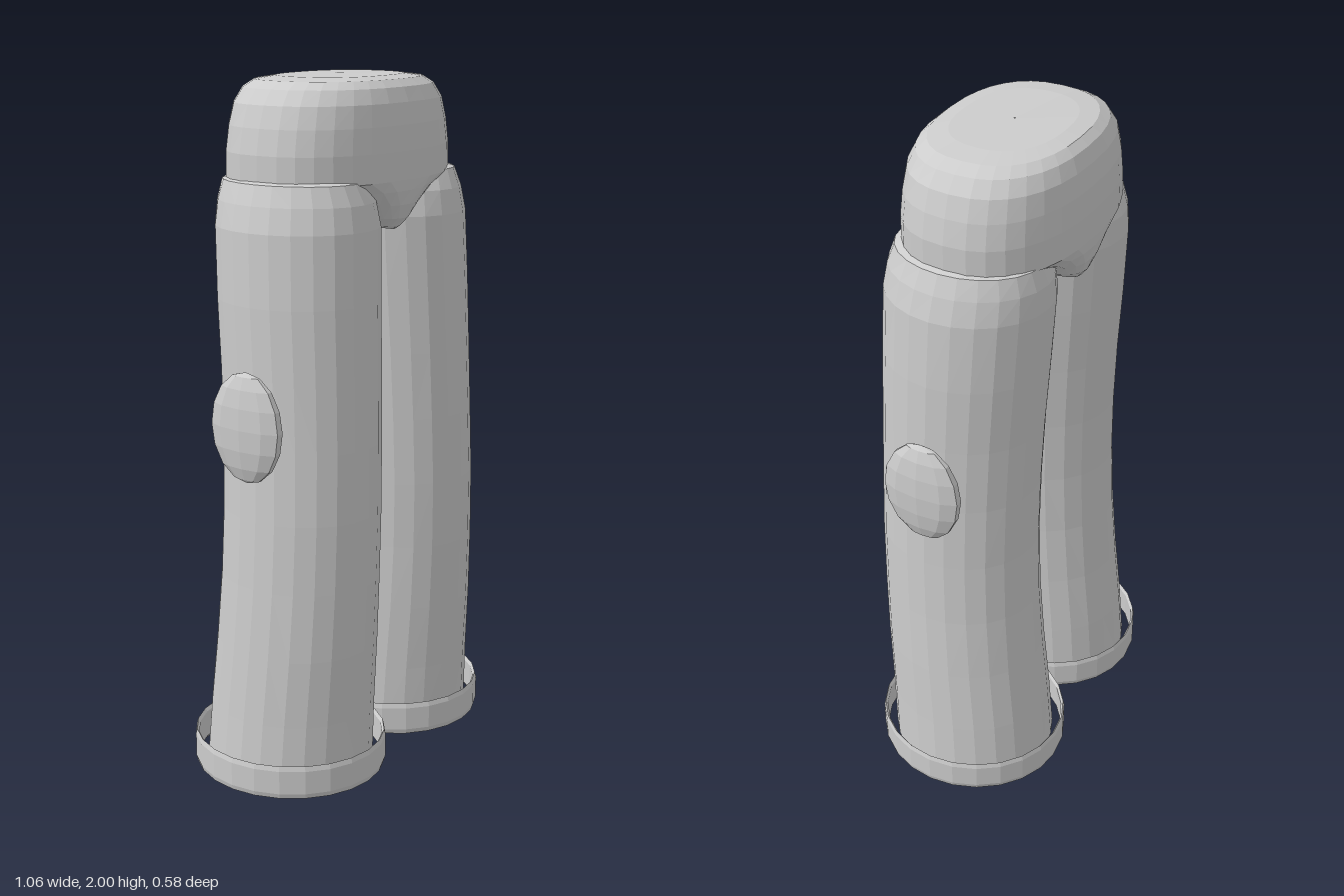
import * as THREE from 'three';

const fabric = new THREE.MeshStandardMaterial({ color: 0xcccccc, flatShading: true, side: THREE.DoubleSide });
fabric.name = 'light grey fabric';

// Skin a stack of rounded rings, each given as [y, xMin, xMax, zMin, zMax], bottom to top
function loft(rows, sides, power) {
  const pos = [], index = [];
  const round = (v) => Math.sign(v) * Math.pow(Math.abs(v), 2 / power);
  for (const [y, x0, x1, z0, z1] of rows) {
    for (let j = 0; j < sides; j++) {
      const a = (j / sides) * Math.PI * 2;
      pos.push((x0 + x1) / 2 + round(Math.cos(a)) * (x1 - x0) / 2, y,
        (z0 + z1) / 2 + round(Math.sin(a)) * (z1 - z0) / 2);
    }
  }
  for (let i = 0; i < rows.length - 1; i++) {
    for (let j = 0; j < sides; j++) {
      const k = (j + 1) % sides;
      const a = i * sides + j, b = i * sides + k, c = a + sides, d = b + sides;
      index.push(a, c, b, b, c, d);
    }
  }
  const geo = new THREE.BufferGeometry();
  geo.setAttribute('position', new THREE.Float32BufferAttribute(pos, 3));
  geo.setIndex(index);
  geo.computeVertexNormals();
  return geo;
}

function part(name, geo, parent) {
  const mesh = new THREE.Mesh(geo, fabric);
  mesh.name = name;
  parent.add(mesh);
  return mesh;
}

export function createModel() {
  const model = new THREE.Group();
  model.name = 'trousers';

  // Hips: rounded waist above, narrowing to the crotch below
  const hips = [
    [1.575, 0.002, 0.19], [1.585, 0.045, 0.205], [1.61, 0.09, 0.225], [1.65, 0.15, 0.24],
    [1.69, 0.25, 0.247], [1.72, 0.375, 0.248], [1.8, 0.375, 0.247], [1.87, 0.362, 0.243],
    [1.93, 0.342, 0.235], [1.97, 0.31, 0.218], [1.99, 0.27, 0.195], [1.998, 0.2, 0.15], [2, 0.002, 0.002],
  ].map(([y, x, z]) => [y, -x, x, -z - 0.004, z - 0.004]);
  part('hips', loft(hips, 32, 2.4), model);

  // Leg tube: open hem, slight bend at the knee, closed under the hips
  const legRows = [
    [0.02, 0.016, 0.494, -0.252, 0.25], [0.2, 0.022, 0.484, -0.238, 0.256],
    [0.4, 0.027, 0.474, -0.217, 0.266], [0.6, 0.03, 0.463, -0.202, 0.272],
    [0.8, 0.028, 0.455, -0.195, 0.274], [1, 0.023, 0.447, -0.197, 0.27],
    [1.2, 0.016, 0.443, -0.205, 0.264], [1.4, 0.008, 0.441, -0.218, 0.257],
    [1.6, 0.002, 0.432, -0.229, 0.25], [1.67, 0.02, 0.414, -0.226, 0.238],
    [1.725, 0.06, 0.392, -0.21, 0.215], [1.735, 0.1, 0.36, -0.17, 0.18],
    [1.738, 0.22, 0.222, 0, 0.002],
  ];
  const legGeo = loft(legRows, 24, 2);

  // Loose hem ring, a thin band with softened rims
  const cuffGeo = new THREE.LatheGeometry([
    [0.962, 0.01], [0.985, 0], [1, 0.015], [1, 0.085], [0.985, 0.1], [0.962, 0.09], [0.962, 0.01],
  ].map(([r, y]) => new THREE.Vector2(r, y)), 24);
  cuffGeo.scale(0.275, 1, 0.29);

  // Flattened oval pad on the outer side of the knee
  const padGeo = new THREE.SphereGeometry(1, 10, 8);
  padGeo.scale(0.036, 0.157, 0.122);

  for (const s of [1, -1]) {
    const side = new THREE.Group();
    side.name = s > 0 ? 'leftLeg' : 'rightLeg';
    side.scale.x = s;
    part('legTube', legGeo, side);
    part('cuff', cuffGeo, side).position.set(0.255, 0, 0);
    part('sidePad', padGeo, side).position.set(0.468, 1.072, 0.025);
    model.add(side);
  }
  return model;
}
